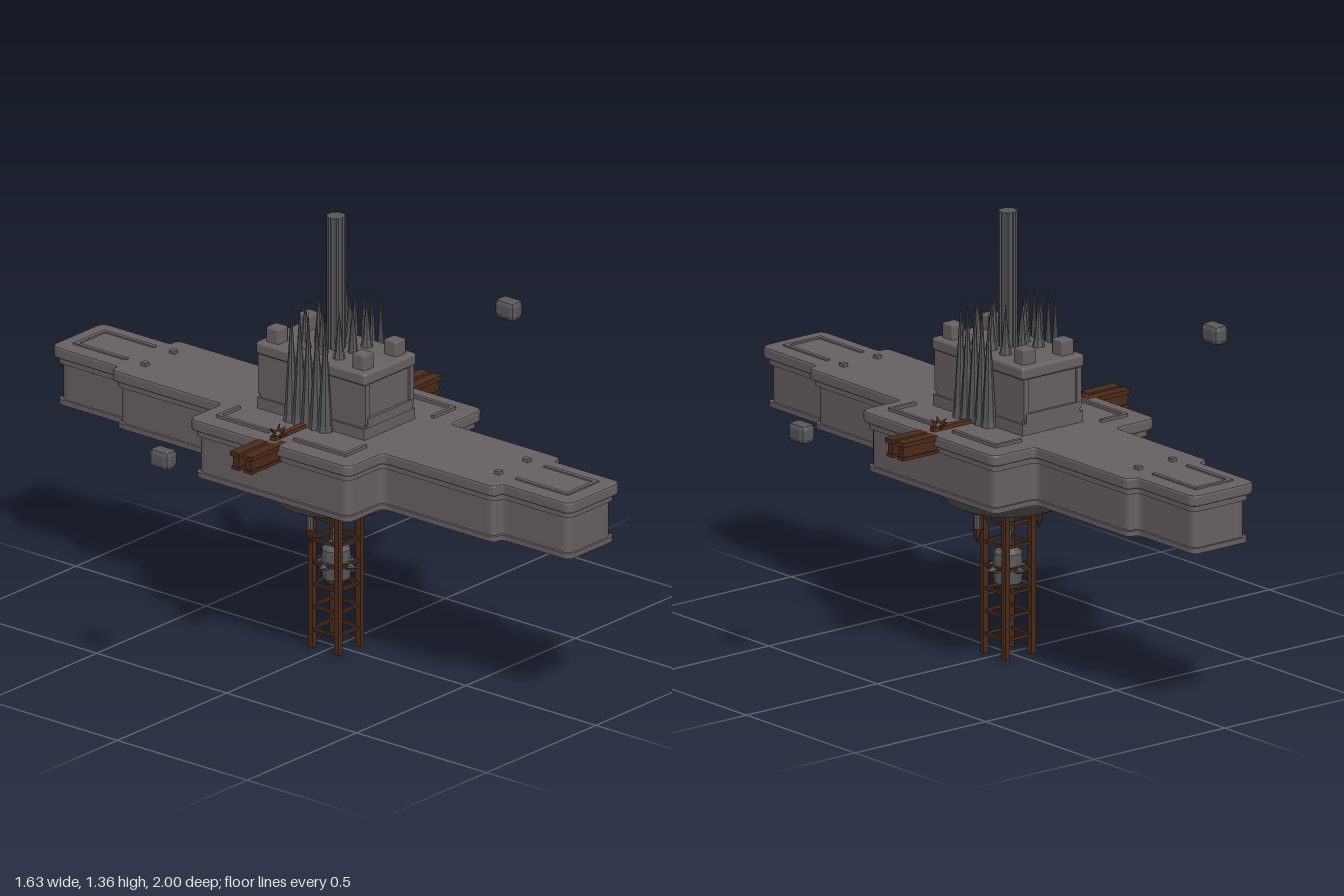
import * as THREE from 'three';
import { RoundedBoxGeometry } from 'three/addons/geometries/RoundedBoxGeometry.js';

export function createModel() {
  const model = new THREE.Group();
  const mat = (name, color, flatShading = false) => {
    const m = new THREE.MeshStandardMaterial({ color });
    m.name = name;
    m.flatShading = flatShading;
    return m;
  };
  const stone = mat('stone', 0x696163);
  const iron = mat('iron', 0x58575a, true);
  const wood = mat('wood', 0x4b2a1a);
  const rust = mat('rust', 0x57301f, true);

  const add = (name, geometry, material, x = 0, y = 0, z = 0, parent = model) => {
    const mesh = new THREE.Mesh(geometry, material);
    mesh.name = name;
    mesh.position.set(x, y, z);
    parent.add(mesh);
    return mesh;
  };
  const box = (name, w, h, d, material, x, y, z) =>
    add(name, new THREE.BoxGeometry(w, h, d), material, x, y, z);
  const group = (name, x, y, z) => {
    const g = new THREE.Group();
    g.name = name;
    g.position.set(x, y, z);
    model.add(g);
    return g;
  };
  const up = new THREE.Vector3(0, 1, 0);
  // Cone whose base sits at distance `from` along a direction
  const thorn = (parent, dir, from, length, radius, material) => {
    const d = new THREE.Vector3(...dir).normalize();
    const c = add('thorn', new THREE.ConeGeometry(radius, length, 6), material, 0, 0, 0, parent);
    c.quaternion.setFromUnitVectors(up, d);
    c.position.copy(d).multiplyScalar(from + length / 2);
  };

  // Stepped cross-shaped deck outline with softened outer corners
  const deckShape = (inset) => {
    const quarter = [[0.31, 0.31], [0.155, 0.31], [0.155, 0.74], [0.12, 0.74], [0.12, 1]]
      .map(([x, z], i) => [x - inset, (i === 2 || i === 3 ? 0.74 : z) - inset]);
    const mirrored = (sx, sz) => quarter.map(([x, z]) => [x * sx, z * sz]);
    const pts = [...mirrored(1, 1), ...mirrored(-1, 1).reverse(),
      ...mirrored(-1, -1), ...mirrored(1, -1).reverse()];
    const shape = new THREE.Shape();
    pts.forEach((p, i) => {
      const a = pts[(i + pts.length - 1) % pts.length], b = pts[(i + 1) % pts.length];
      const toward = (q) => {
        const l = Math.hypot(q[0] - p[0], q[1] - p[1]);
        const r = Math.min(0.025, l * 0.4);
        return [p[0] + (q[0] - p[0]) * r / l, p[1] + (q[1] - p[1]) * r / l];
      };
      const s = toward(a), e = toward(b);
      if (i === 0) shape.moveTo(...s); else shape.lineTo(...s);
      shape.quadraticCurveTo(p[0], p[1], e[0], e[1]);
    });
    shape.closePath();
    return shape;
  };
  const layer = (name, inset, y0, y1, bevel = 0) => {
    const geo = new THREE.ExtrudeGeometry(deckShape(inset + bevel), {
      depth: y1 - y0 - 2 * bevel, curveSegments: 4,
      bevelEnabled: bevel > 0, bevelSize: bevel, bevelThickness: bevel, bevelSegments: 2,
    });
    geo.rotateX(-Math.PI / 2);
    add(name, geo, stone, 0, y0 + bevel, 0);
  };
  layer('deckBase', 0.014, 0.55, 0.566);
  layer('deckWall', 0.022, 0.56, 0.69);
  layer('deckMoulding', 0.013, 0.68, 0.702);
  layer('deckSlab', 0, 0.698, 0.735, 0.007);

  // Raised trim and studs on the deck
  for (const s of [1, -1]) {
    for (const x of [-0.065, 0.065]) {
      box('endTrimSide', 0.013, 0.008, 0.2, stone, x, 0.736, s * 0.85);
      box('deckStud', 0.018, 0.014, 0.02, stone, x, 0.738, s * 0.68);
    }
    box('endTrimCap', 0.143, 0.008, 0.013, stone, 0, 0.736, s * 0.945);
    for (const t of [1, -1]) {
      box('middleTrimSide', 0.012, 0.012, 0.2, stone, s * 0.247, 0.738, t * 0.148);
      box('middleTrimEnd', 0.1, 0.012, 0.012, stone, s * 0.203, 0.738, t * 0.243);
    }
  }

  // Shallow bowl beneath the deck
  const bowl = [[0, 0.458], [0.15, 0.458], [0.185, 0.475], [0.21, 0.505], [0.224, 0.53], [0.224, 0.552], [0, 0.552]];
  const bowlMaterial = mat('bowl stone', 0x605b5e, true);
  add('bowl', new THREE.LatheGeometry(bowl.map(([r, y]) => new THREE.Vector2(r, y)), 24), bowlMaterial);

  // Central keep with cornice, plinth, face panels and roof blocks
  box('keepBody', 0.22, 0.2, 0.4, stone, 0, 0.835, 0);
  box('keepPlinth', 0.232, 0.035, 0.412, stone, 0, 0.752, 0);
  add('keepCornice', new RoundedBoxGeometry(0.238, 0.04, 0.424, 2, 0.01), stone, 0, 0.925, 0);
  for (const s of [1, -1]) {
    box('keepStep', 0.205, 0.03, 0.014, stone, 0, 0.785, s * 0.202);
    for (const t of [1, -1]) {
      box('keepCorner', 0.018, 0.13, 0.014, stone, t * 0.101, 0.845, s * 0.2);
      add('roofBlock', new RoundedBoxGeometry(0.048, 0.055, 0.048, 1, 0.006), stone, s * 0.073, 0.964, t * 0.165);
    }
  }

  // Fluted column
  const flutes = new THREE.Shape();
  for (let i = 0; i < 32; i++) {
    const a = i / 32 * Math.PI * 2, r = i % 4 === 0 ? 0.025 : 0.029;
    flutes[i ? 'lineTo' : 'moveTo'](Math.cos(a) * r, Math.sin(a) * r);
  }
  const columnGeo = new THREE.ExtrudeGeometry(flutes, { depth: 0.42, bevelEnabled: false });
  columnGeo.rotateX(-Math.PI / 2);
  add('column', columnGeo, iron, 0, 0.94, 0);

  // Tall spikes on the roof and along both flanks
  const spike = (x, z) => {
    add('spike', new THREE.ConeGeometry(0.023, 0.37, 8), iron, x, 0.915, z);
    add('spikeFoot', new THREE.CylinderGeometry(0.02, 0.026, 0.03, 8), iron, x, 0.747, z);
  };
  for (const s of [1, -1]) {
    for (const z of [-0.065, -0.033, 0, 0.033, 0.065]) spike(s * 0.127, z);
    for (const z of [-0.065, 0, 0.065]) {
      add('roofSpike', new THREE.ConeGeometry(0.017, 0.17, 8), iron, s * 0.063, 1.015, z);
      add('roofSpikeFoot', new THREE.CylinderGeometry(0.014, 0.02, 0.03, 8), iron, s * 0.063, 0.955, z);
    }
    add('roofSpike', new THREE.ConeGeometry(0.017, 0.17, 8), iron, 0, 1.015, s * 0.065);
  }

  for (const s of [1, -1]) {
    // Paired side beams with overhanging top and bottom flanges
    for (const t of [1, -1]) {
      box('beamWeb', 0.15, 0.05, 0.022, wood, s * 0.355, 0.705, t * 0.023);
      box('beamTop', 0.165, 0.014, 0.035, wood, s * 0.353, 0.728, t * 0.024);
      box('beamFoot', 0.155, 0.01, 0.03, wood, s * 0.355, 0.684, t * 0.024);
    }
    // Rusty tie rod and thorny knot
    box('tieRod', 0.16, 0.012, 0.018, rust, s * 0.21, 0.741, 0);
    const knot = group('thornKnot', s * 0.265, 0.748, 0);
    add('knotCore', new THREE.IcosahedronGeometry(0.015, 0), rust, 0, 0, 0, knot);
    for (const d of [[1, 0.15, 0], [-1, 0.15, 0], [0, 0.2, 1], [0, 0.2, -1], [1, 1, 0.5], [-1, 1, -0.5], [0.2, 1, 0]])
      thorn(knot, d, 0.01, 0.025, 0.007, rust);

    // Floating boulders
    const rock = add('floatingRock', new THREE.CylinderGeometry(0.036, 0.036, 0.074, 8), iron, s * 0.79, 0.83, 0);
    const p = rock.geometry.attributes.position;
    for (let i = 0; i < p.count; i++) {
      const k = Math.abs(p.getY(i)) > 0.03 ? 0.7 : 1;
      p.setXYZ(i, p.getX(i) * k, p.getY(i) * 0.95, p.getZ(i) * k);
    }
    rock.geometry.dispose();
    rock.geometry = new RoundedBoxGeometry(0.052, 0.062, 0.074, 1, 0.016);

    // Hanging spears
    add('spearShaft', new THREE.CylinderGeometry(0.011, 0.011, 0.07, 8), iron, s * 0.118, 0.435, 0);
    add('spearTip', new THREE.ConeGeometry(0.017, 0.045, 8).rotateX(Math.PI), rust, s * 0.118, 0.382, 0);
  }

  // Ladder tower: four posts and rungs around all sides
  for (const s of [1, -1]) {
    for (const t of [1, -1]) box('towerPost', 0.018, 0.47, 0.018, wood, s * 0.05, 0.235, t * 0.05);
    for (let i = 0; i < 6; i++) {
      const y = 0.058 + i * 0.071;
      box('rung', 0.1, 0.009, 0.009, wood, 0, y, s * 0.05);
      box('rung', 0.009, 0.009, 0.1, wood, s * 0.05, y, 0);
    }
  }

  // Thorned weight on a chain
  const weight = group('hangingWeight', 0, 0.265, 0);
  const profile = [[0, -0.066], [0.025, -0.064], [0.043, -0.045], [0.046, 0], [0.043, 0.045], [0.025, 0.064], [0, 0.066]];
  add('weightBody', new THREE.LatheGeometry(profile.map(([r, y]) => new THREE.Vector2(r, y)), 12), iron, 0, 0, 0, weight);
  for (const d of [[1, 0, 0], [-1, 0, 0], [0, 0, 1], [0, 0, -1], [1, 0, 1], [1, 0, -1], [-1, 0, 1], [-1, 0, -1]])
    thorn(weight, d, 0.04, 0.045, 0.015, iron);
  thorn(weight, [0, -1, 0], 0.06, 0.03, 0.014, iron);
  for (let i = 0; i < 5; i++) {
    const link = add('chainLink', new THREE.TorusGeometry(0.012, 0.004, 6, 10), iron, 0, 0.342 + i * 0.026, 0);
    link.scale.y = 1.35;
    link.rotation.y = i % 2 ? Math.PI / 2 : 0;
  }
  return model;
}
